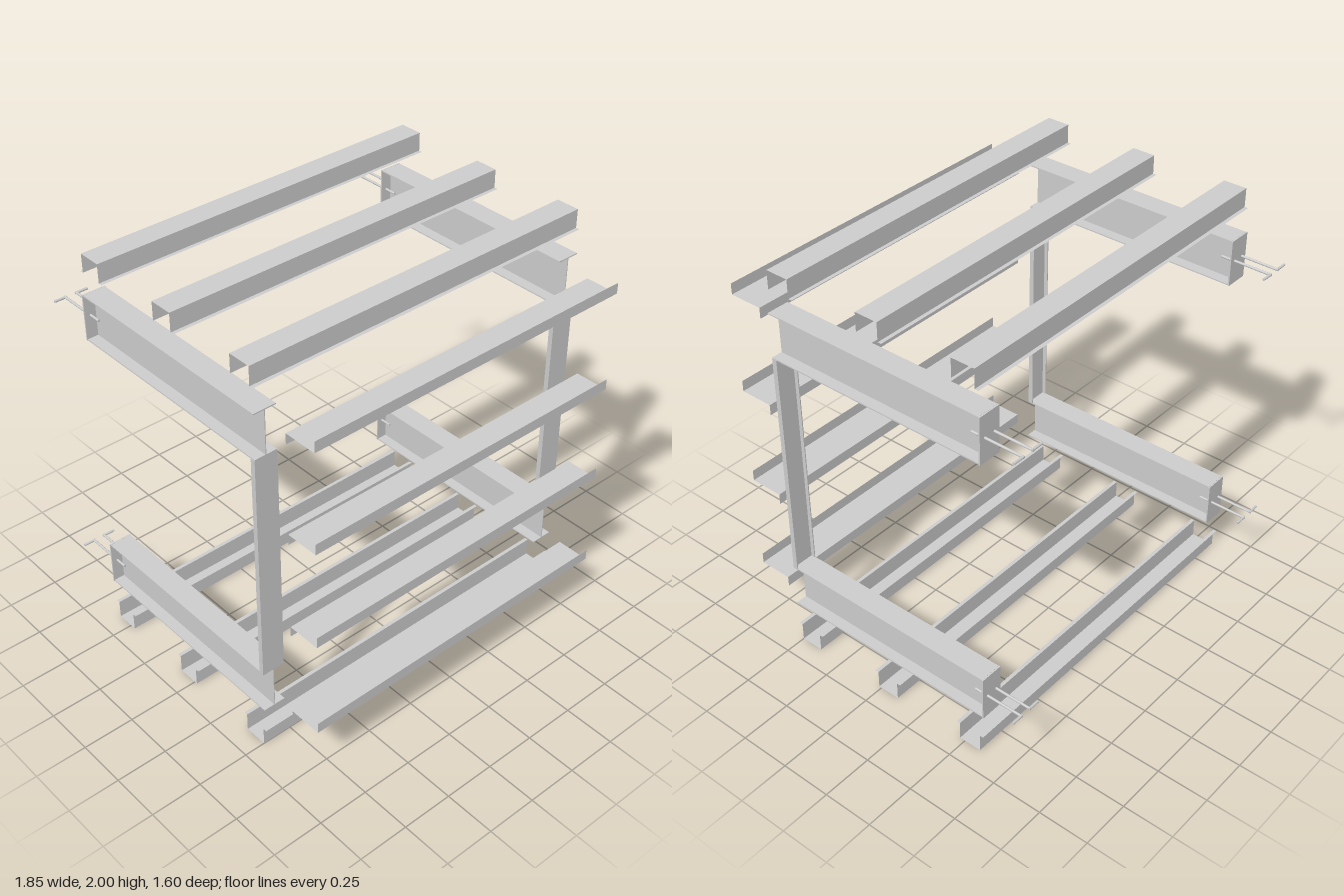
import * as THREE from 'three';

const steel = new THREE.MeshStandardMaterial({ color: 0xcccccc });
const sheet = new THREE.MeshStandardMaterial({ color: 0xcccccc, side: THREE.DoubleSide });

function add(parent, name, geometry, material, x = 0, y = 0, z = 0) {
  const mesh = new THREE.Mesh(geometry, material);
  mesh.name = name;
  mesh.position.set(x, y, z);
  parent.add(mesh);
  return mesh;
}

// Thin folded sheet: a [z, y] profile swept along x, with sharp folds
function foldedSheet(profile, halfLength) {
  const positions = [];
  for (let i = 0; i < profile.length - 1; i++) {
    const [z0, y0] = profile[i];
    const [z1, y1] = profile[i + 1];
    const a = [-halfLength, y0, z0], b = [halfLength, y0, z0];
    const c = [halfLength, y1, z1], d = [-halfLength, y1, z1];
    positions.push(...a, ...b, ...c, ...a, ...c, ...d);
  }
  const geometry = new THREE.BufferGeometry();
  geometry.setAttribute('position', new THREE.Float32BufferAttribute(positions, 3));
  geometry.computeVertexNormals();
  return geometry;
}

// I-beam running front to back, with a plate closing its back end
function makeBeam() {
  const beam = new THREE.Group();
  beam.name = 'beam';
  const length = 1.12, width = 0.11, height = 0.222, t = 0.006, midZ = -0.043;
  for (const s of [-1, 1])
    add(beam, 'beamFlange', new THREE.BoxGeometry(width, t, length), steel, 0, s * (height - t) / 2, midZ);
  add(beam, 'beamWeb', new THREE.BoxGeometry(0.004, height - 2 * t, length), steel, 0, 0, midZ);
  add(beam, 'endPlate', new THREE.BoxGeometry(0.115, height, 0.007), steel, 0, 0, -0.607);

  // Hooked anchor rods through the end plate
  for (const s of [-1, 1]) {
    const rod = new THREE.CylinderGeometry(0.006, 0.006, 0.255, 12).rotateX(Math.PI / 2);
    add(beam, 'anchorRod', rod, steel, s * 0.028, 0.004, -0.6715);
    const hook = new THREE.CylinderGeometry(0.006, 0.006, 0.06, 12).rotateZ(Math.PI / 2);
    add(beam, 'anchorHook', hook, steel, s * 0.053, 0.004, -0.794);
  }
  return beam;
}

// Shallow channel post, open towards the back
function makePost() {
  const post = new THREE.Group();
  post.name = 'post';
  const height = 1.136, y = 1.003;
  add(post, 'postWeb', new THREE.BoxGeometry(0.113, height, 0.005), steel, 0, y, 0.5145);
  for (const s of [-1, 1])
    add(post, 'postFlange', new THREE.BoxGeometry(0.005, height, 0.02), steel, s * 0.054, y, 0.503);
  return post;
}

export function createModel() {
  const model = new THREE.Group();
  model.name = 'frame';

  // Side frames: lower beam, upper beam and front post
  for (const side of [-1, 1]) {
    const frame = new THREE.Group();
    frame.name = side > 0 ? 'leftFrame' : 'rightFrame';
    frame.position.x = side * 0.843;
    for (const y of [0.326, 1.682]) {
      const beam = makeBeam();
      beam.position.y = y;
      frame.add(beam);
    }
    frame.add(makePost());
    model.add(frame);
  }

  // Hat-section rails, upright above and inverted below
  const w = 0.057, lip = 0.075, h = 0.09;
  const hat = foldedSheet([[-lip, -h], [-w, -h], [-w, 0], [w, 0], [w, -h], [lip, -h]], 0.897);
  const tray = foldedSheet([[-lip, h], [-w, h], [-w, 0], [w, 0], [w, h], [lip, h]], 0.897);
  for (const z of [0.443, -0.043, -0.529]) {
    add(model, 'topRail', hat, sheet, 0, 2, z);
    add(model, 'bottomRail', tray, sheet, 0, 0, z);
  }

  // Z-section rails in front of the posts
  const zed = foldedSheet([[0.8, 0.053], [0.8, 0], [0.635, 0], [0.635, -0.053]], 0.84);
  for (const y of [0.267, 0.758, 1.25, 1.742]) add(model, 'frontRail', zed, sheet, 0, y, 0);

  return model;
}
